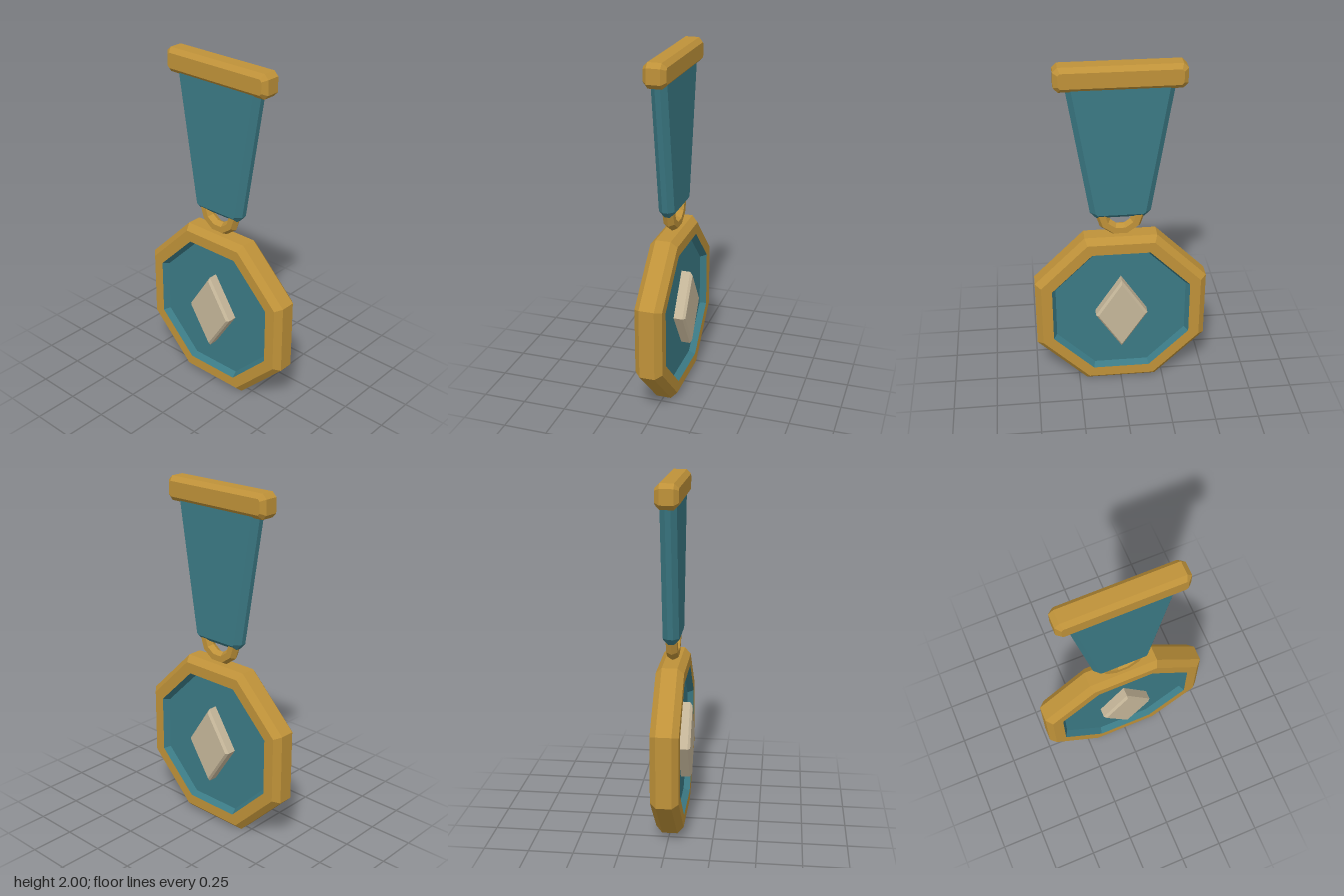
import * as THREE from 'three';

const gold = new THREE.MeshStandardMaterial({ color: 0xbf9239 });
const teal = new THREE.MeshStandardMaterial({ color: 0x3b7a85 });
const cream = new THREE.MeshStandardMaterial({ color: 0xc6b79a });
gold.name = 'gold';
teal.name = 'teal';
cream.name = 'cream';

// Flat-shaded skin over convex outlines, listed from front to back:
// each ring is { pts: [[x, y], ...] counter-clockwise, z }
function loft(rings, capFront = true, capBack = true) {
  const pos = [];
  const put = (ring, i) => pos.push(ring.pts[i][0], ring.pts[i][1], ring.z);
  const n = rings[0].pts.length;
  for (let k = 0; k + 1 < rings.length; k++) {
    const a = rings[k], b = rings[k + 1];
    for (let i = 0; i < n; i++) {
      const j = (i + 1) % n;
      put(a, i); put(b, i); put(b, j);
      put(a, i); put(b, j); put(a, j);
    }
  }
  const last = rings[rings.length - 1];
  for (let i = 1; i + 1 < n; i++) {
    if (capFront) { put(rings[0], 0); put(rings[0], i); put(rings[0], i + 1); }
    if (capBack) { put(last, 0); put(last, i + 1); put(last, i); }
  }
  const geo = new THREE.BufferGeometry();
  geo.setAttribute('position', new THREE.Float32BufferAttribute(pos, 3));
  geo.computeVertexNormals();
  return geo;
}

// Slab with a bevelled front and back edge
function slab(outer, face, zEdge, zFace) {
  return loft([
    { pts: face, z: zFace }, { pts: outer, z: zEdge },
    { pts: outer, z: -zEdge }, { pts: face, z: -zFace },
  ]);
}

// Regular octagon with a flat top, sized by its half width
function octagon(half) {
  const r = half / Math.cos(Math.PI / 8);
  return Array.from({ length: 8 }, (_, i) => {
    const a = (i + 0.5) * Math.PI / 4;
    return [r * Math.cos(a), r * Math.sin(a)];
  });
}

// Rectangle with cut corners
function cutRect(w, h, c) {
  return [[w, c - h], [w, h - c], [w - c, h], [c - w, h],
    [-w, h - c], [-w, c - h], [c - w, -h], [w - c, -h]];
}

// Tapered strap outline with cut lower corners
function strap(top, side, sideY, foot, footY) {
  return [[foot, footY], [side, sideY], [top, 1.93], [-top, 1.93], [-side, sideY], [-foot, footY]];
}

const diamond = (w, h) => [[w, 0], [0, h], [-w, 0], [0, -h]];

export function createModel() {
  const model = new THREE.Group();
  model.name = 'medal';
  const add = (name, geo, mat, y = 0, parent = model) => {
    const mesh = new THREE.Mesh(geo, mat);
    mesh.name = name;
    mesh.position.y = y;
    parent.add(mesh);
    return mesh;
  };

  // Octagonal medallion: rim, recessed enamel on both sides, diamond through the middle
  const medallion = new THREE.Group();
  medallion.name = 'medallion';
  medallion.position.y = 0.495;
  model.add(medallion);

  const rimProfile = [[0.398, 0.078], [0.46, 0.078], [0.494, 0.043],
    [0.494, -0.043], [0.46, -0.078], [0.398, -0.078]];
  const rim = loft(rimProfile.map(([r, z]) => ({ pts: octagon(r), z })), false, false);
  add('rim', rim, gold, 0, medallion);

  const enamel = loft([{ pts: octagon(0.377), z: 0.042 }, { pts: octagon(0.398), z: 0.078 }], true, false);
  add('frontEnamel', enamel, teal, 0, medallion);
  add('backEnamel', enamel, teal, 0, medallion).rotation.y = Math.PI;

  add('diamond', slab(diamond(0.15, 0.231), diamond(0.136, 0.21), 0.094, 0.108), cream, 0, medallion);

  // Link ring: ten sides around, six-sided section with a flat front
  const ring = new THREE.TorusGeometry(0.105, 0.036, 6, 10).toNonIndexed();
  ring.rotateZ(Math.PI / 2 + Math.PI / 10 + Math.PI / 5 * 2);
  ring.computeVertexNormals();
  add('linkRing', ring, gold, 1.12);

  // Ribbon
  const ribbon = slab(
    strap(0.298, 0.17, 1.138, 0.135, 1.1),
    strap(0.268, 0.139, 1.138, 0.128, 1.128),
    0.015, 0.045);
  add('ribbon', ribbon, teal);

  // Top bar
  const bar = slab(cutRect(0.35, 0.0675, 0.026), cutRect(0.325, 0.0425, 0.012), 0.038, 0.063);
  add('topBar', bar, gold, 1.9325);

  return model;
}
